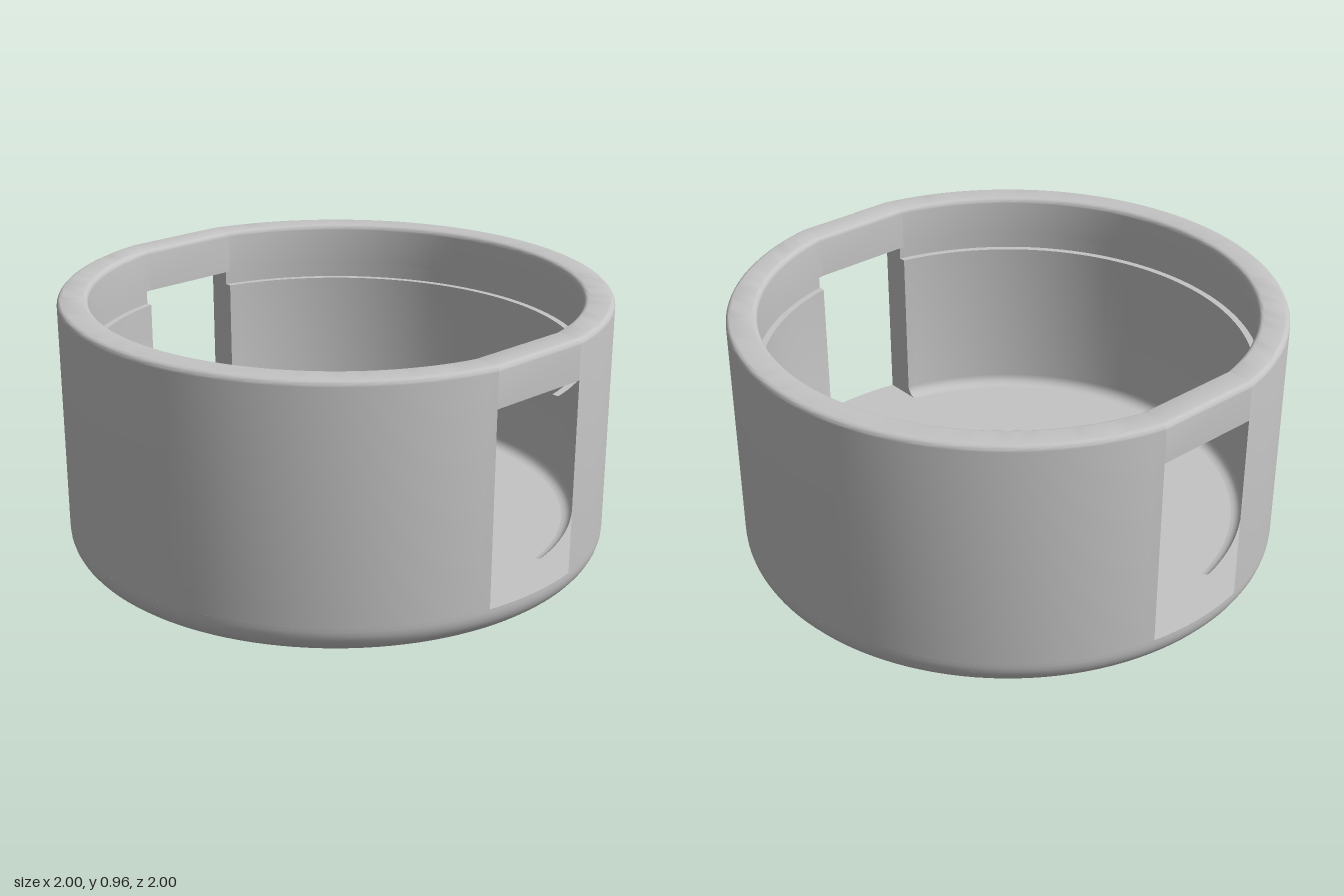
import * as THREE from 'three';
import { toCreasedNormals } from 'three/addons/utils/BufferGeometryUtils.js';

const HALF = 0.2;                       // half width of the side windows
const SILL = 0.11, HEAD = 0.82, TOP = 0.965;
const OUTER = 1, INNER = 0.89, GROOVE = 0.915;

// Quarter-round points between two angles
function arc(cx, cy, r, from, to, steps) {
  return Array.from({ length: steps + 1 }, (_, i) => {
    const a = from + (to - from) * i / steps;
    return new THREE.Vector2(cx + r * Math.cos(a), cy + r * Math.sin(a));
  });
}
const v = (x, y) => new THREE.Vector2(x, y);

// Rounded rim shared by the walls and the lintels
const rim = [
  ...arc(OUTER - 0.02, TOP - 0.02, 0.02, 0, Math.PI / 2, 5),
  ...arc(INNER + 0.02, TOP - 0.02, 0.02, Math.PI / 2, Math.PI, 5),
];
const wallProfile = [
  v(OUTER, SILL), ...rim,
  v(INNER, 0.8), v(GROOVE, 0.8), v(GROOVE, 0.74), v(INNER, 0.74),
  ...arc(INNER - 0.04, SILL + 0.04, 0.04, 0, -Math.PI / 2, 5),
];
const lintelProfile = [v(OUTER, HEAD), ...rim, v(INNER, 0.8), v(GROOVE, 0.8), v(GROOVE, HEAD)];

// Distance from the centre where a radius meets the window's side plane
const chord = r => Math.sqrt(r * r - HALF * HALF);

// Sweep the wall profile round, ending on the plane z = HALF at both sides
function wallGeometry(steps) {
  const n = wallProfile.length, pos = [], idx = [];
  for (const p of wallProfile) {
    const start = Math.asin(HALF / p.x);
    for (let j = 0; j <= steps; j++) {
      const a = start + (Math.PI - 2 * start) * j / steps;
      pos.push(p.x * Math.cos(a), p.y, p.x * Math.sin(a));
    }
  }
  const at = (i, j) => (i % n) * (steps + 1) + j;
  for (let i = 0; i < n; i++) {
    for (let j = 0; j < steps; j++) {
      idx.push(at(i, j), at(i + 1, j), at(i, j + 1));
      idx.push(at(i + 1, j), at(i + 1, j + 1), at(i, j + 1));
    }
  }
  // Flat window jambs
  for (const [a, b, c] of THREE.ShapeUtils.triangulateShape(wallProfile, [])) {
    for (const j of [0, steps]) idx.push(at(a, j), at(c, j), at(b, j));
  }
  const g = new THREE.BufferGeometry();
  g.setAttribute('position', new THREE.Float32BufferAttribute(pos, 3));
  g.setIndex(idx);
  return toCreasedNormals(g, 0.6);
}

export function createModel() {
  const grey = new THREE.MeshStandardMaterial({ color: 0xc4c4c4 });
  grey.name = 'light grey';
  const model = new THREE.Group();
  model.name = 'roundHousing';
  const add = (name, geometry, turn = 0) => {
    const mesh = new THREE.Mesh(geometry, grey);
    mesh.name = name;
    mesh.rotation.y = turn;
    model.add(mesh);
  };

  // Round base with a filleted underside and a flat floor
  const baseProfile = [
    v(0, 0), ...arc(OUTER - 0.1, 0.1, 0.1, -Math.PI / 2, 0, 8), v(OUTER, SILL), v(0, SILL),
  ];
  add('base', toCreasedNormals(new THREE.LatheGeometry(baseProfile, 128), 0.6));

  // Two curved walls, and a straight lintel over each window
  const wall = wallGeometry(64);
  const lintelShape = new THREE.Shape(lintelProfile.map(p => v(chord(p.x), p.y)));
  const lintel = toCreasedNormals(
    new THREE.ExtrudeGeometry(lintelShape, { depth: 2 * HALF, bevelEnabled: false })
      .translate(0, 0, -HALF), 0.6);
  add('frontWall', wall);
  add('backWall', wall, Math.PI);
  add('leftLintel', lintel);
  add('rightLintel', lintel, Math.PI);
  return model;
}
